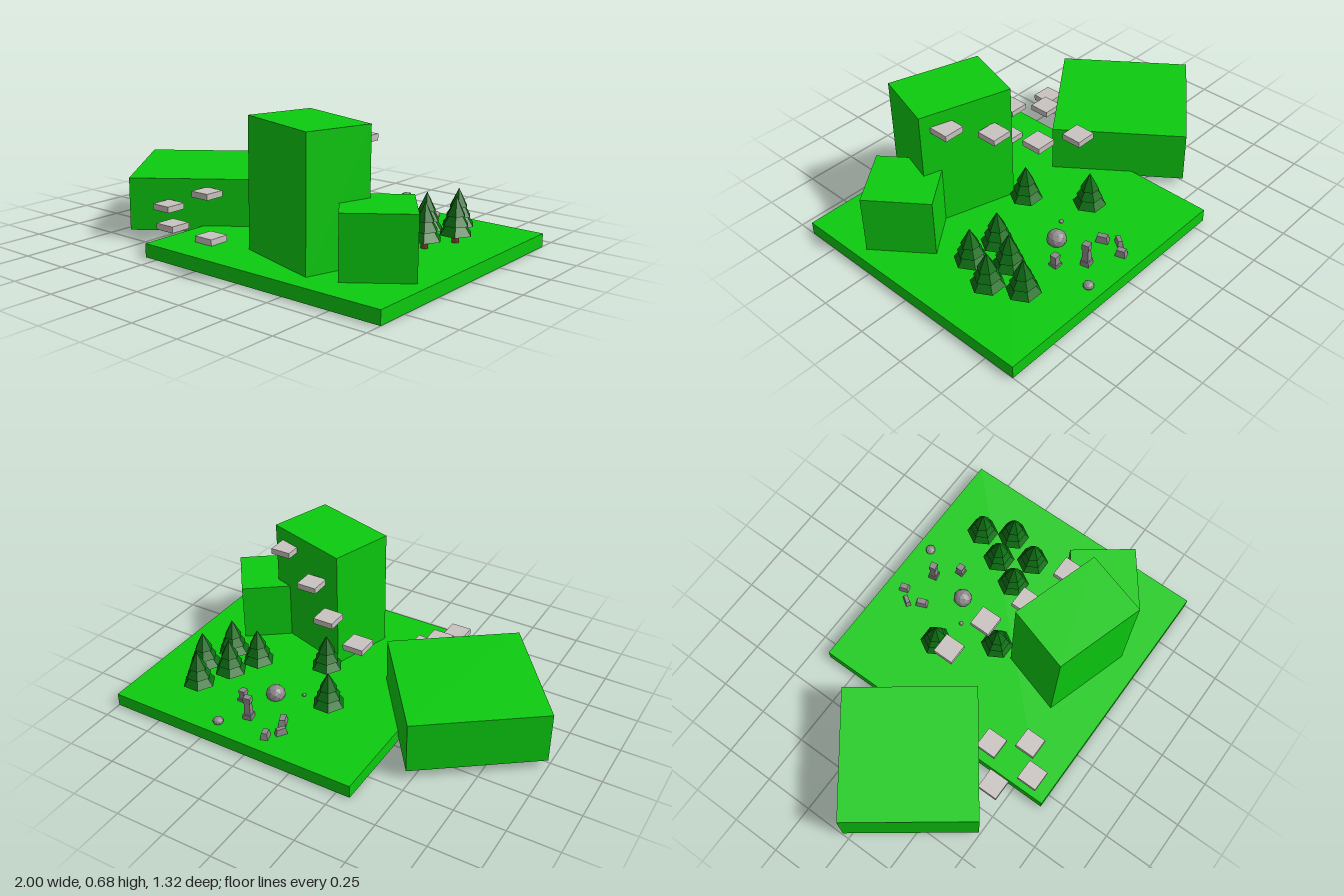
import * as THREE from 'three';

const mat = (name, color) => {
  const m = new THREE.MeshStandardMaterial({ color });
  m.name = name;
  return m;
};

export function createModel() {
  const grass = mat('grass green', 0x0ccb0f);
  const leaf = mat('leaf green', 0x0c6e12);
  const bark = mat('bark brown', 0x75432f);
  const slab = mat('slab grey', 0xc9c3c0);
  const stone = mat('stone grey', 0x8e898b);
  const root = new THREE.Group();
  root.name = 'blockLandscape';
  const GROUND = 0.066;

  const add = (name, geo, material, x, y, z, ry = 0, parent = root) => {
    const mesh = new THREE.Mesh(geo, material);
    mesh.name = name;
    mesh.position.set(x, y, z);
    mesh.rotation.y = ry;
    parent.add(mesh);
    return mesh;
  };
  // Box placed by its bottom and top heights
  const block = (name, material, x, z, w, d, y0, y1, ry = 0, parent = root) =>
    add(name, new THREE.BoxGeometry(w, y1 - y0, d), material, x, (y0 + y1) / 2, z, ry, parent);

  // Ground plate and the large grassy blocks
  block('ground', grass, 0.34, 0, 1.32, 1.32, 0, GROUND);
  block('overhangBlock', grass, -0.54, 0.037, 0.655, 0.656, 0.04, 0.3, 0.639);
  block('tallBlock', grass, 0.3725, 0.33, 0.46, 0.329, 0.03, 0.68, -0.298);
  block('lowBlock', grass, 0.7175, 0.2925, 0.325, 0.325, 0.03, 0.36, 0.644);

  // Floating stepping slabs: x, centre height, z
  [
    [0.54, 0.6, 0.175], [0.335, 0.508, 0.085], [0.168, 0.427, -0.033], [-0.036, 0.385, -0.1],
    [-0.26, 0.243, 0.315], [-0.405, 0.18, 0.43], [-0.25, 0.139, 0.552], [-0.11, 0.081, 0.445],
  ].forEach(([x, y, z]) => block('steppingSlab', slab, x, z, 0.104, 0.104, y - 0.015, y + 0.015));

  // Six-sided pines made of a trunk and three tiers
  const tiers = [[0.082, 0.107, 0.215], [0.064, 0.15, 0.25], [0.046, 0.195, 0.284]];
  [
    [0.68, -0.418], [0.755, -0.273], [0.605, -0.26], [0.535, -0.118],
    [0.695, -0.108], [0.042, -0.245], [0.21, 0.012],
  ].forEach(([x, z]) => {
    const tree = new THREE.Group();
    tree.name = 'pine';
    tree.position.set(x, 0, z);
    root.add(tree);
    add('trunk', new THREE.CylinderGeometry(0.019, 0.019, 0.07, 6), bark, 0, 0.09, 0, Math.PI / 6, tree);
    tiers.forEach(([r, y0, y1]) => {
      const cone = new THREE.ConeGeometry(r, y1 - y0, 6).toNonIndexed();
      cone.computeVertexNormals();
      add('foliage', cone, leaf, 0, (y0 + y1) / 2, 0, Math.PI / 6, tree);
    });
  });

  // Rounded boulders: x, z, radius, centre height, vertical stretch
  [
    [0.32, -0.285, 0.048, 0.085, 0.95],
    [0.445, -0.587, 0.026, 0.075, 0.75],
    [0.205, -0.21, 0.011, 0.07, 0.8],
  ].forEach(([x, z, r, y, s], i) => {
    const rock = new THREE.IcosahedronGeometry(r, 1);
    rock.scale(1, s, 1);
    rock.computeVertexNormals();
    add('boulder', rock, stone, x, y, z, i);
  });

  // Small angular stones: x, z, width, depth, height, turn
  [
    [0.19, -0.565, 0.036, 0.05, 0.034, 0.3],
    [0.14, -0.51, 0.026, 0.056, 0.034, -0.6],
    [0.175, -0.44, 0.036, 0.06, 0.035, 0.4],
  ].forEach(([x, z, w, d, h, ry]) => {
    const geo = new THREE.CylinderGeometry(0.55, 0.72, 1, 4).toNonIndexed();
    geo.computeVertexNormals();
    geo.rotateY(Math.PI / 4);
    geo.scale(w, h, d);
    geo.computeVertexNormals();
    add('stone', geo, stone, x, GROUND + h / 2, z, ry);
  });

  // Standing stones, each with a foot, a tapered shaft and a cap
  [[0.34, -0.485, 0.122, 0.2], [0.44, -0.385, 0.06, 0]].forEach(([x, z, h, ry]) => {
    const pillar = new THREE.Group();
    pillar.name = 'standingStone';
    pillar.position.set(x, GROUND, z);
    pillar.rotation.y = ry;
    root.add(pillar);
    block('foot', stone, 0, 0, 0.044, 0.044, 0, h * 0.22, 0, pillar);
    const shaft = new THREE.CylinderGeometry(0.019, 0.024, h * 0.56, 4).toNonIndexed();
    shaft.computeVertexNormals();
    add('shaft', shaft, stone, 0, h * 0.5, 0, Math.PI / 4, pillar);
    block('cap', stone, 0, 0, 0.034, 0.034, h * 0.74, h, 0, pillar);
  });

  return root;
}
